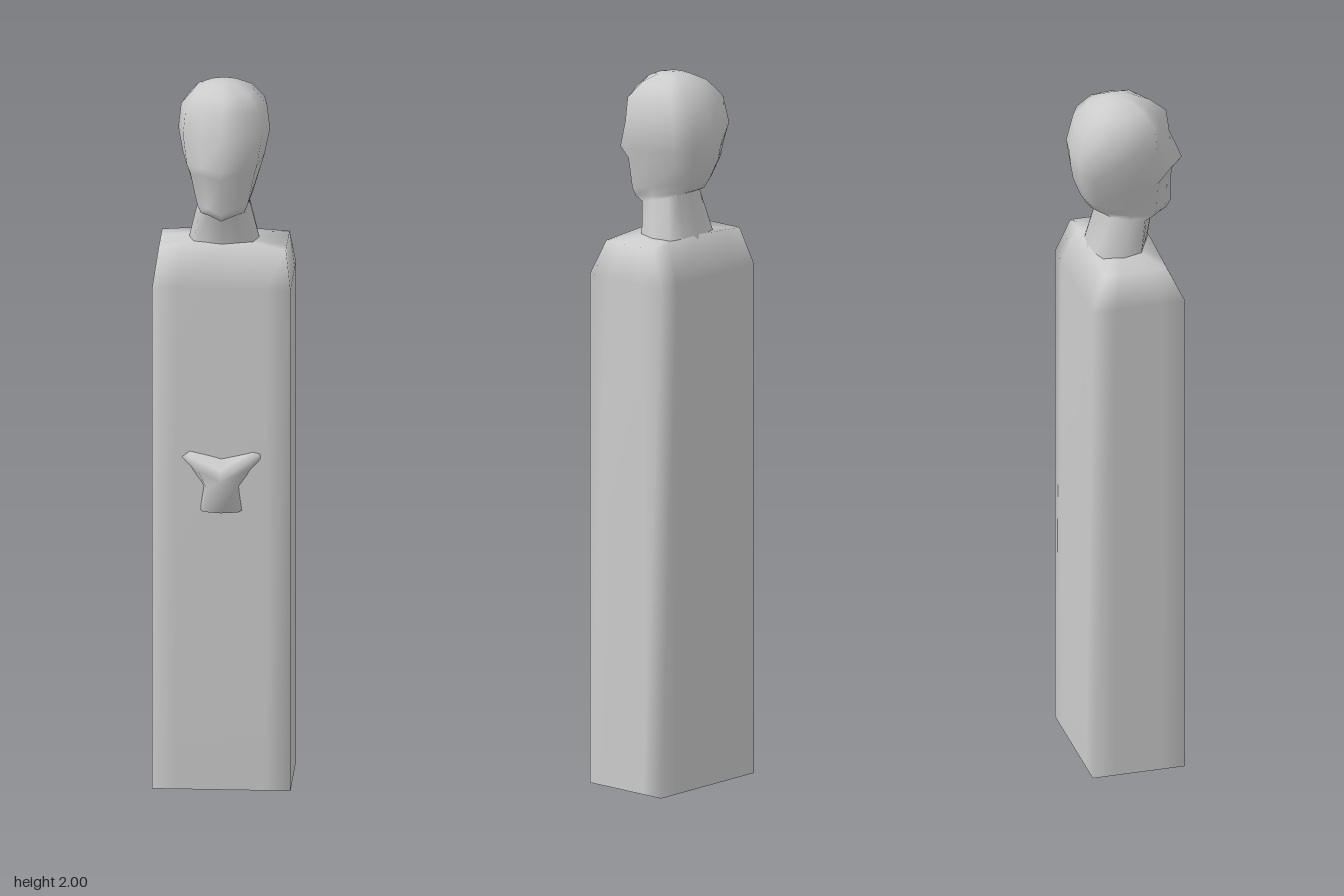
import * as THREE from 'three';

const material = new THREE.MeshStandardMaterial({ color: 0xcccccc, side: THREE.DoubleSide });

// Smooth skin over a stack of rings; each ring runs from +z towards +x.
function loft(name, rings, { closed = true, apex = null } = {}) {
  const n = rings[0].length;
  const points = rings.flat(2);
  const index = [];
  const spans = closed ? n : n - 1;
  for (let i = 0; i < rings.length - 1; i++) {
    for (let j = 0; j < spans; j++) {
      const k = (j + 1) % n;
      const a = i * n + j, b = i * n + k, c = b + n, d = a + n;
      index.push(a, b, c, a, c, d);
    }
  }
  if (apex) {
    const base = (rings.length - 1) * n;
    for (let j = 0; j < n; j++) index.push(base + j, base + (j + 1) % n, rings.length * n);
    points.push(...apex);
  }
  const geometry = new THREE.BufferGeometry();
  geometry.setAttribute('position', new THREE.Float32BufferAttribute(points, 3));
  geometry.setIndex(index);
  geometry.computeVertexNormals();
  const mesh = new THREE.Mesh(geometry, material);
  mesh.name = name;
  return mesh;
}

// Rectangular section with extra points beside each corner.
function bodyRing([y, w, zFront, zBack, crown]) {
  const mid = (zFront + zBack) / 2, d = (zFront - zBack) / 2;
  const outline = [
    [0, 1], [0.65, 1], [1, 1], [1, 0.5], [1, -0.5], [1, -1], [0.65, -1],
    [0, -1], [-0.65, -1], [-1, -1], [-1, -0.5], [-1, 0.5], [-1, 1], [-0.65, 1],
  ];
  return outline.map(([x, z]) => [x * w, y + crown * (1 - Math.abs(x)), mid + z * d]);
}

// Wedge-faced section: half outline mirrored, tilted between front and back.
function headRing([yFront, zFront, yBack, zBack, w]) {
  const half = [[0, 0], [0.5, 0.14], [0.86, 0.23], [1, 0.53], [0.9, 0.87], [0.5, 0.965], [0, 1]];
  const mirrored = half.slice(1, -1).reverse().map(([x, t]) => [-x, t]);
  return [...half, ...mirrored].map(([x, t]) => [
    x * w,
    THREE.MathUtils.lerp(yFront, yBack, t),
    THREE.MathUtils.lerp(zFront, zBack, t),
  ]);
}

// Open front shell of the joined hands; the outer columns sink into the body.
function handRow([y, wingLift, w, zFront, zSide]) {
  return [-1, -0.78, 0, 0.78, 1].map((x) => {
    const a = Math.abs(x);
    const z = a === 1 ? 0.108 : a > 0 ? zSide : zFront;
    return [x * w, y + wingLift * (a === 1 ? 0.7 : a > 0 ? 1 : 0), z];
  });
}

export function createModel() {
  const group = new THREE.Group();
  group.name = 'figure';

  // Tall body, open underneath, with sloping shoulders
  const bodyRows = [
    [0, 0.19, 0.115, -0.148, 0],
    [1.44, 0.19, 0.115, -0.148, 0],
    [1.54, 0.175, 0.068, -0.108, 0.012],
  ];
  group.add(loft('body', bodyRows.map(bodyRing), { apex: [0, 1.555, -0.02] }));

  // Neck and head: front height, front z, back height, back z, half width
  const headRows = [
    [1.53, 0.058, 1.53, -0.115, 0.1],
    [1.625, 0.072, 1.665, -0.08, 0.073],
    [1.635, 0.115, 1.68, -0.112, 0.07],
    [1.655, 0.127, 1.71, -0.13, 0.08],
    [1.755, 0.13, 1.76, -0.15, 0.102],
    [1.785, 0.16, 1.8, -0.157, 0.112],
    [1.87, 0.124, 1.85, -0.162, 0.126],
    [1.935, 0.115, 1.925, -0.143, 0.118],
    [1.975, 0.068, 1.972, -0.1, 0.082],
    [1.994, 0.025, 1.994, -0.062, 0.038],
  ];
  group.add(loft('head', headRows.map(headRing), { apex: [0, 2, -0.02] }));

  // Joined hands: height, wing lift, half width, centre z, side z
  const handRows = [
    [0.8, 0, 0.055, 0.108, 0.108],
    [0.805, 0, 0.06, 0.145, 0.135],
    [0.87, 0.005, 0.05, 0.163, 0.14],
    [0.9, 0.025, 0.08, 0.163, 0.145],
    [0.93, 0.035, 0.113, 0.158, 0.143],
    [0.955, 0.02, 0.11, 0.108, 0.108],
  ];
  group.add(loft('hands', handRows.map(handRow), { closed: false }));

  return group;
}
